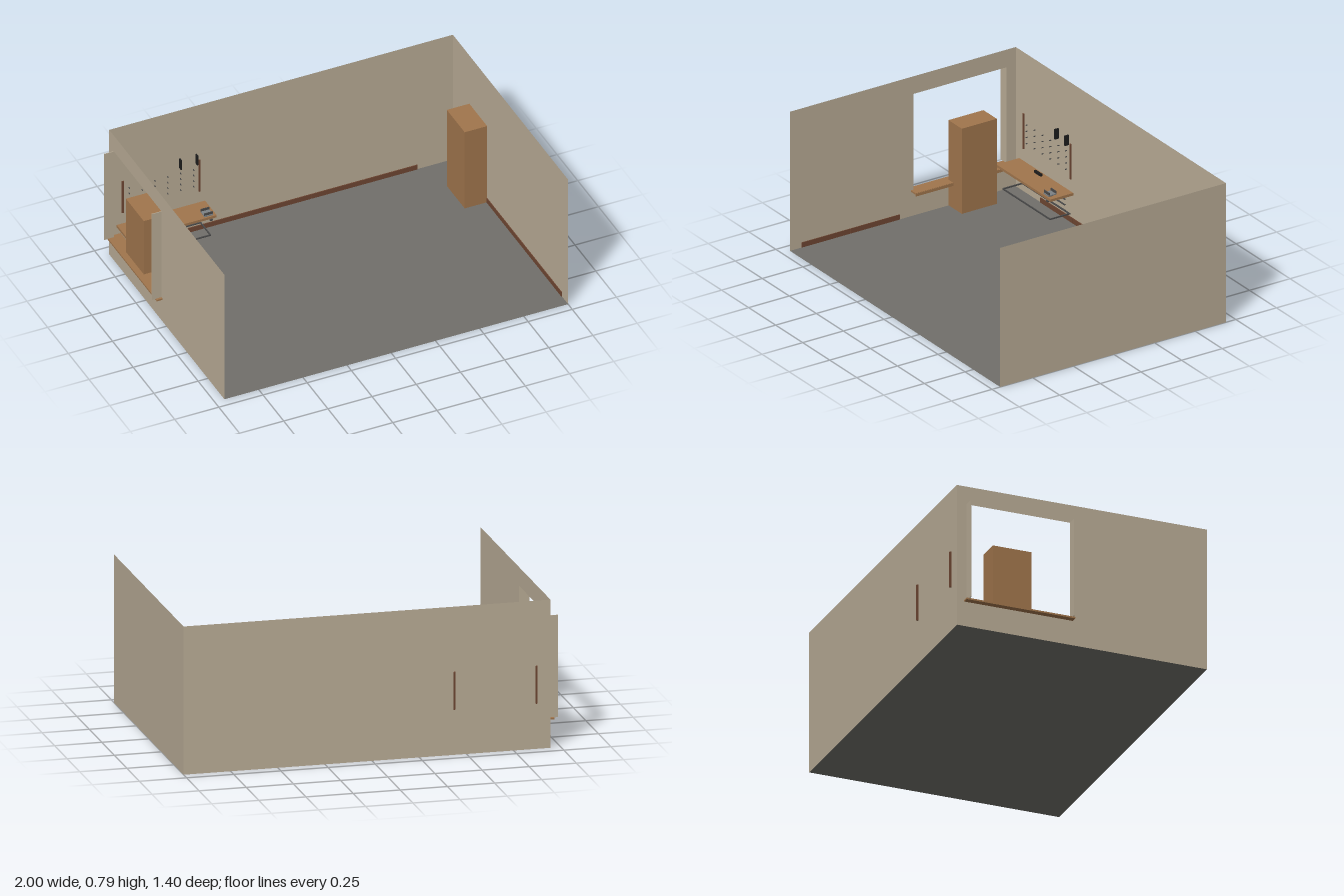
import * as THREE from 'three';

export function createModel() {
  const room = new THREE.Group();
  const mat = (name, color, side = THREE.FrontSide) => {
    const m = new THREE.MeshStandardMaterial({ color, side });
    m.name = name;
    return m;
  };
  const plaster = mat('plaster', 0xb8ab95, THREE.DoubleSide);
  const concrete = mat('concrete', 0x716f6a, THREE.DoubleSide);
  const wood = mat('wood', 0xa0754c);
  const darkWood = mat('darkWood', 0x6e4632);
  const steel = mat('steel', 0x4a4a4a);
  const black = mat('black', 0x1c1c1c);
  const grey = mat('grey', 0x7d8285);

  const add = (name, geo, material, parent = room) => {
    const m = new THREE.Mesh(geo, material);
    m.name = name;
    parent.add(m);
    return m;
  };
  // Box given by its limits on each axis
  const box = (name, x0, x1, y0, y1, z0, z1, material, parent) => {
    const m = add(name, new THREE.BoxGeometry(x1 - x0, y1 - y0, z1 - z0), material, parent);
    m.position.set((x0 + x1) / 2, (y0 + y1) / 2, (z0 + z1) / 2);
    return m;
  };
  const group = (name) => {
    const g = new THREE.Group();
    g.name = name;
    room.add(g);
    return g;
  };

  const L = -0.945, R = 1, B = -0.69, F = 0.7, H = 0.79;

  // Floor
  const floor = add('floor', new THREE.PlaneGeometry(R - L, F - B), concrete);
  floor.rotation.x = -Math.PI / 2;
  floor.position.set((L + R) / 2, 0, (B + F) / 2);

  // Walls: thin sheets, open at the front
  const back = add('backWall', new THREE.PlaneGeometry(R - L, H), plaster);
  back.position.set((L + R) / 2, H / 2, B);
  const side = add('rightSideWall', new THREE.PlaneGeometry(F - B, H), plaster);
  side.rotation.y = -Math.PI / 2;
  side.position.set(R, H / 2, (B + F) / 2);

  // Window wall, drawn in (z, y) and turned so that shape x runs along +z
  const wz0 = -0.635, wz1 = -0.06, wy0 = 0.145, wy1 = 0.69;
  const outline = new THREE.Shape([[B, 0], [F, 0], [F, H], [B, H]].map(p => new THREE.Vector2(...p)));
  outline.holes.push(new THREE.Path(
    [[wz0, wy0], [wz0, wy1], [wz1, wy1], [wz1, wy0]].map(p => new THREE.Vector2(...p))));
  const windowWall = add('windowWall', new THREE.ShapeGeometry(outline), plaster);
  windowWall.rotation.y = -Math.PI / 2;
  windowWall.position.x = L;

  // Window reveals and sill
  for (const z of [wz0, wz1]) {
    box('windowReveal', -1, L, wy0, wy1, z - 0.002, z + 0.002, plaster);
  }
  box('windowSill', -0.978, -0.9, 0.138, 0.147, -0.65, -0.045, wood);
  box('sillNosing', -0.905, -0.898, 0.13, 0.146, -0.65, -0.045, wood);

  // Tall cabinets against both side walls
  box('cabinet', L + 0.001, -0.82, 0.002, 0.485, -0.49, -0.275, wood);
  box('cabinet', 0.872, R - 0.001, 0.002, 0.485, -0.49, -0.275, wood);

  // Skirting boards in equal lengths
  const skirting = group('skirting');
  const len = 0.302, gap = 0.002;
  for (let i = 0; i < 5; i++) {
    const x = -0.71 + i * len;
    box('backSkirting', x, x + len - gap, 0.002, 0.03, B + 0.001, B + 0.006, darkWood, skirting);
  }
  for (let i = 0; i < 3; i++) {
    const z = -0.275 + i * len;
    if (i > 0) box('leftSkirting', L + 0.001, L + 0.005, 0.002, 0.03, z, z + len - gap, darkWood, skirting);
    box('rightSkirting', R - 0.005, R - 0.001, 0.002, 0.03, z, z + len - gap, darkWood, skirting);
  }

  // Workbench: top, lower steel frame, and thin rack under the right end
  const bench = group('workbench');
  box('benchTop', -0.905, -0.405, 0.163, 0.177, -0.685, -0.545, wood, bench);
  for (const z of [-0.68, -0.56]) {
    box('lowerRail', -0.87, -0.43, 0.046, 0.053, z - 0.003, z + 0.003, steel, bench);
  }
  for (const x of [-0.868, -0.433]) {
    box('lowerCrossRail', x - 0.003, x + 0.003, 0.046, 0.053, -0.68, -0.56, steel, bench);
  }
  for (const y of [0.068, 0.1, 0.132]) {
    box('rackBar', -0.535, -0.445, y - 0.0015, y + 0.0015, -0.665, -0.655, steel, bench);
  }

  // Vise on the bench corner: base, square head and jaws
  const vise = group('vise');
  box('viseBase', -0.465, -0.435, 0.177, 0.184, -0.585, -0.555, steel, vise);
  box('viseHead', -0.473, -0.425, 0.184, 0.19, -0.595, -0.545, grey, vise);
  for (const z of [-0.593, -0.551]) {
    box('viseJaw', -0.473, -0.425, 0.19, 0.204, z - 0.002, z + 0.002, steel, vise);
  }
  box('viseScrew', -0.443, -0.428, 0.152, 0.16, -0.55, -0.542, steel, vise);

  // Small tool block lying on the bench
  box('toolBlock', -0.72, -0.66, 0.177, 0.19, -0.664, -0.652, black);

  // Tool wall: battens, pegs and two hanging tools
  const toolWall = group('toolWall');
  for (const x of [-0.87, -0.435]) {
    box('batten', x - 0.005, x + 0.005, 0.243, 0.443, -0.7, -0.684, darkWood, toolWall);
  }
  for (let i = 0; i < 6; i++) {
    for (let j = 0; j < 4; j++) {
      const x = -0.835 + i * 0.073, y = 0.287 + j * 0.035;
      box('peg', x - 0.002, x + 0.002, y - 0.002, y + 0.002, B + 0.001, B + 0.012, steel, toolWall);
    }
  }
  for (const x of [-0.548, -0.455]) {
    box('hangingTool', x - 0.004, x + 0.004, 0.43, 0.487, -0.688, -0.664, black, toolWall);
  }

  return room;
}
